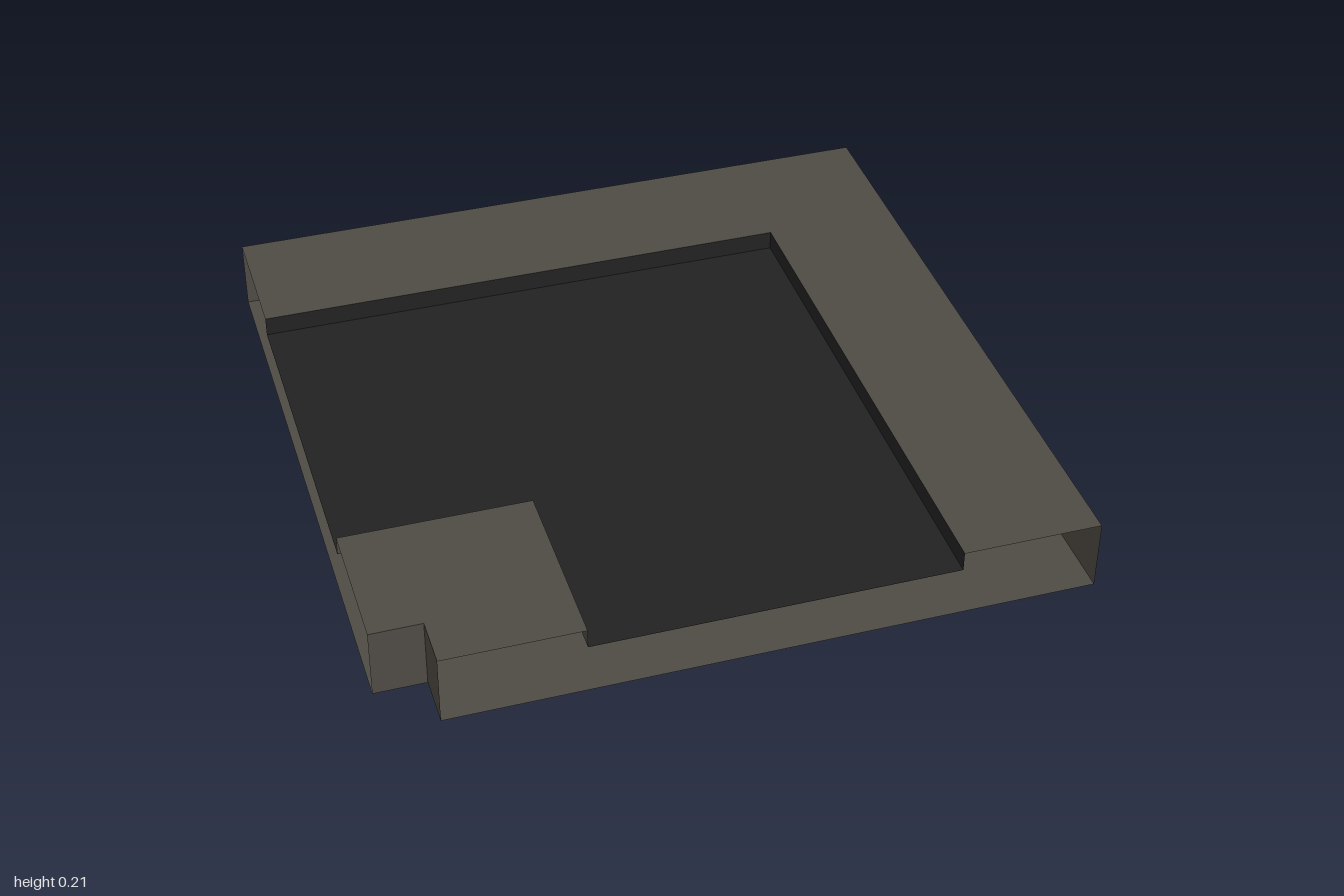
import * as THREE from 'three';

const TOP = 0.211, FLOOR = 0.153;

export function createModel() {
  const model = new THREE.Group();
  model.name = 'recessedTile';

  const stone = new THREE.MeshStandardMaterial({ color: 0x4f4b45, side: THREE.DoubleSide });
  stone.name = 'warm grey stone';
  const asphalt = new THREE.MeshStandardMaterial({ color: 0x222222, side: THREE.DoubleSide });
  asphalt.name = 'near black asphalt';

  const add = (name, geometry, material) => {
    const mesh = new THREE.Mesh(geometry, material);
    mesh.name = name;
    model.add(mesh);
  };

  // Horizontal slab face from an [x, z] outline
  const level = (name, outline, y, material, down = false) => {
    const s = down ? 1 : -1;
    const shape = new THREE.Shape(outline.map(([x, z]) => new THREE.Vector2(x, s * z)));
    add(name, new THREE.ShapeGeometry(shape).rotateX(s * Math.PI / 2).translate(0, y, 0), material);
  };

  // Upright face from a to b in [x, z]; going along +x it faces +z
  const wall = (name, [ax, az], [bx, bz], y0, y1, material) => {
    const g = new THREE.PlaneGeometry(Math.hypot(bx - ax, bz - az), y1 - y0);
    g.rotateY(-Math.atan2(bz - az, bx - ax));
    g.translate((ax + bx) / 2, (y0 + y1) / 2, (az + bz) / 2);
    add(name, g, material);
  };

  // Raised L-shaped border and small corner pad
  level('borderTop', [[-1, -1], [1, -1], [1, 1], [0.6, 1], [0.6, -0.6], [-1, -0.6]], TOP, stone);
  level('cornerPadTop', [[-1, 0.45], [-0.45, 0.45], [-0.45, 1], [-0.85, 1], [-0.85, 0.85], [-1, 0.85]], TOP, stone);
  wall('cornerPadBack', [-0.45, 0.45], [-1, 0.45], FLOOR, TOP, stone);
  wall('cornerPadSide', [-0.45, 1], [-0.45, 0.45], FLOOR, TOP, stone);

  // Sunken dark surface with its curb
  level('sunkenFloor', [[-1, -0.6], [0.6, -0.6], [0.6, 1], [-0.45, 1], [-0.45, 0.45], [-1, 0.45]], FLOOR, asphalt);
  wall('curbBack', [-1, -0.6], [0.6, -0.6], FLOOR, TOP, asphalt);
  wall('curbSide', [0.6, -0.6], [0.6, 1], FLOOR, TOP, asphalt);

  // Outer shell: the front and the -x side stay open
  wall('backWall', [1, -1], [-1, -1], 0, TOP, stone);
  wall('sideWall', [1, 1], [1, -1], 0, TOP, stone);
  wall('notchBack', [-1, 0.85], [-0.85, 0.85], 0, TOP, stone);
  wall('notchSide', [-0.85, 0.85], [-0.85, 1], 0, TOP, stone);
  level('underside', [[-1, -1], [1, -1], [1, 1], [-0.85, 1], [-0.85, 0.85], [-1, 0.85]], 0, stone, true);

  return model;
}
